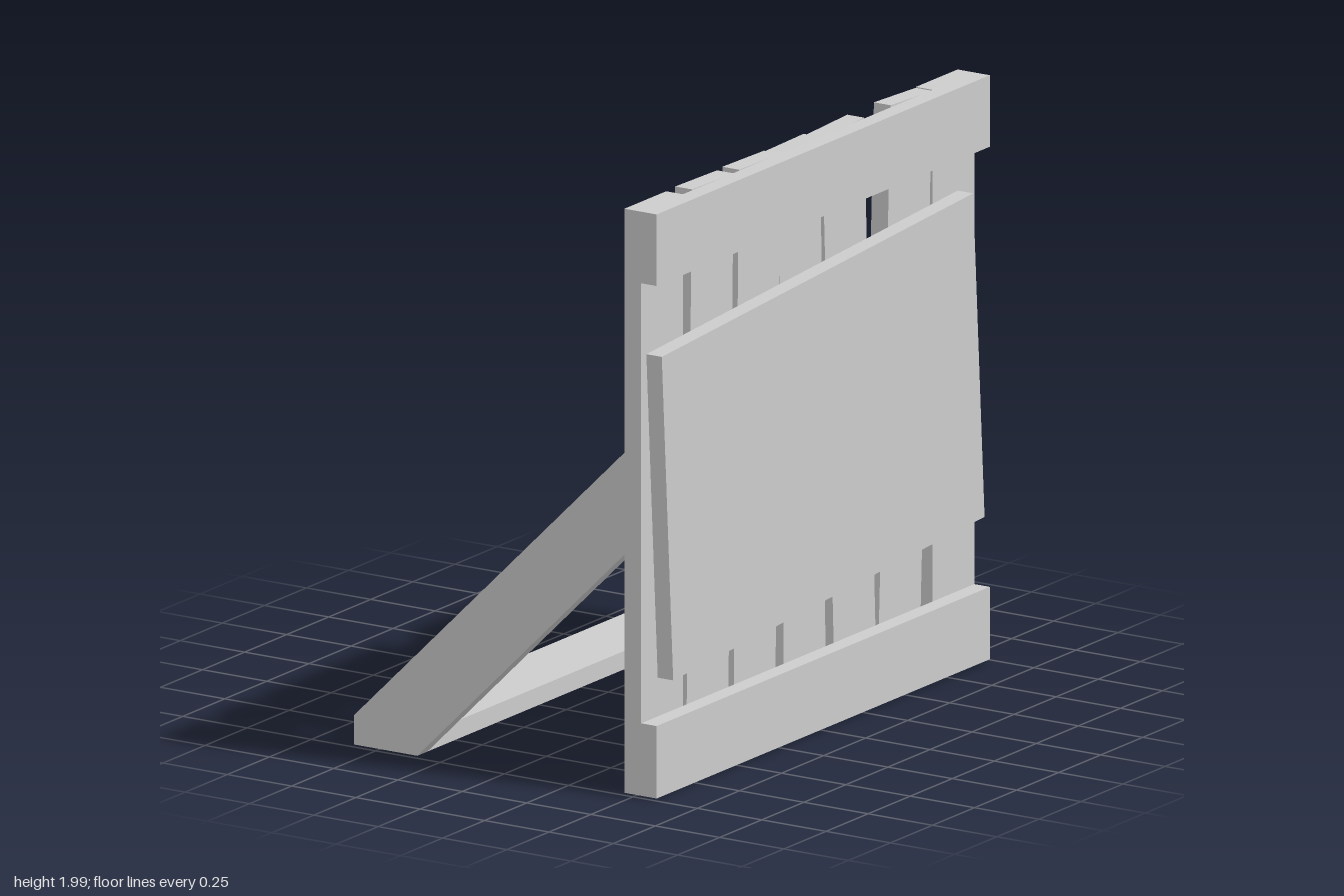
import * as THREE from 'three';

export function createModel() {
  const model = new THREE.Group();
  model.name = 'signBoard';
  const grey = new THREE.MeshStandardMaterial({ color: 0xcccccc });
  grey.name = 'plainGrey';

  const PLANK_X = 0.4925, FRONT_X = 0.555, MID_Y = 1.0025;

  // Board given by size and centre, tilted in the plane of the sign
  function board(name, [w, h, d], [x, y, z], tilt = 0) {
    const mesh = new THREE.Mesh(new THREE.BoxGeometry(w, h, d), grey);
    mesh.name = name;
    mesh.position.set(x, y, z);
    mesh.rotation.x = tilt;
    model.add(mesh);
  }

  // Upright planks: centre z, height offset, tilt
  [
    [0.866, 0, 0],
    [0.582, 0.0014, -0.018],
    [0.302, 0.0014, -0.018],
    [0.032, -0.002, 0.018],
    [-0.249, -0.001, 0.039],
    [-0.577, 0.003, -0.04],
    [-0.866, 0, 0],
  ].forEach(([z, dy, tilt], i) =>
    board(`plank${i + 1}`, [0.065, 1.975, 0.248], [PLANK_X, MID_Y + dy, z], tilt));

  // Rails across the face
  board('topRail', [0.06, 0.242, 1.98], [FRONT_X, 1.869, 0]);
  board('bottomRail', [0.06, 0.245, 1.98], [FRONT_X, 0.1375, 0]);

  // Crooked sign panel
  board('signPanel', [0.06, 1.112, 1.854], [FRONT_X, MID_Y, 0], 0.061);

  // Sloping support legs
  const profile = new THREE.Shape([
    [0.46, 1.165], [-0.59, 0.115], [-0.59, 0.015], [-0.345, 0.015], [0.46, 0.82],
  ].map(([x, y]) => new THREE.Vector2(x, y)));
  const legGeometry = new THREE.ExtrudeGeometry(profile, { depth: 0.06, bevelEnabled: false });
  for (const [name, z] of [['leftLeg', 0.93], ['rightLeg', -0.99]]) {
    const leg = new THREE.Mesh(legGeometry, grey);
    leg.name = name;
    leg.position.z = z;
    model.add(leg);
  }

  // Ground bar joining the legs
  board('groundBar', [0.245, 0.062, 1.86], [-0.4675, 0.046, 0]);

  return model;
}
